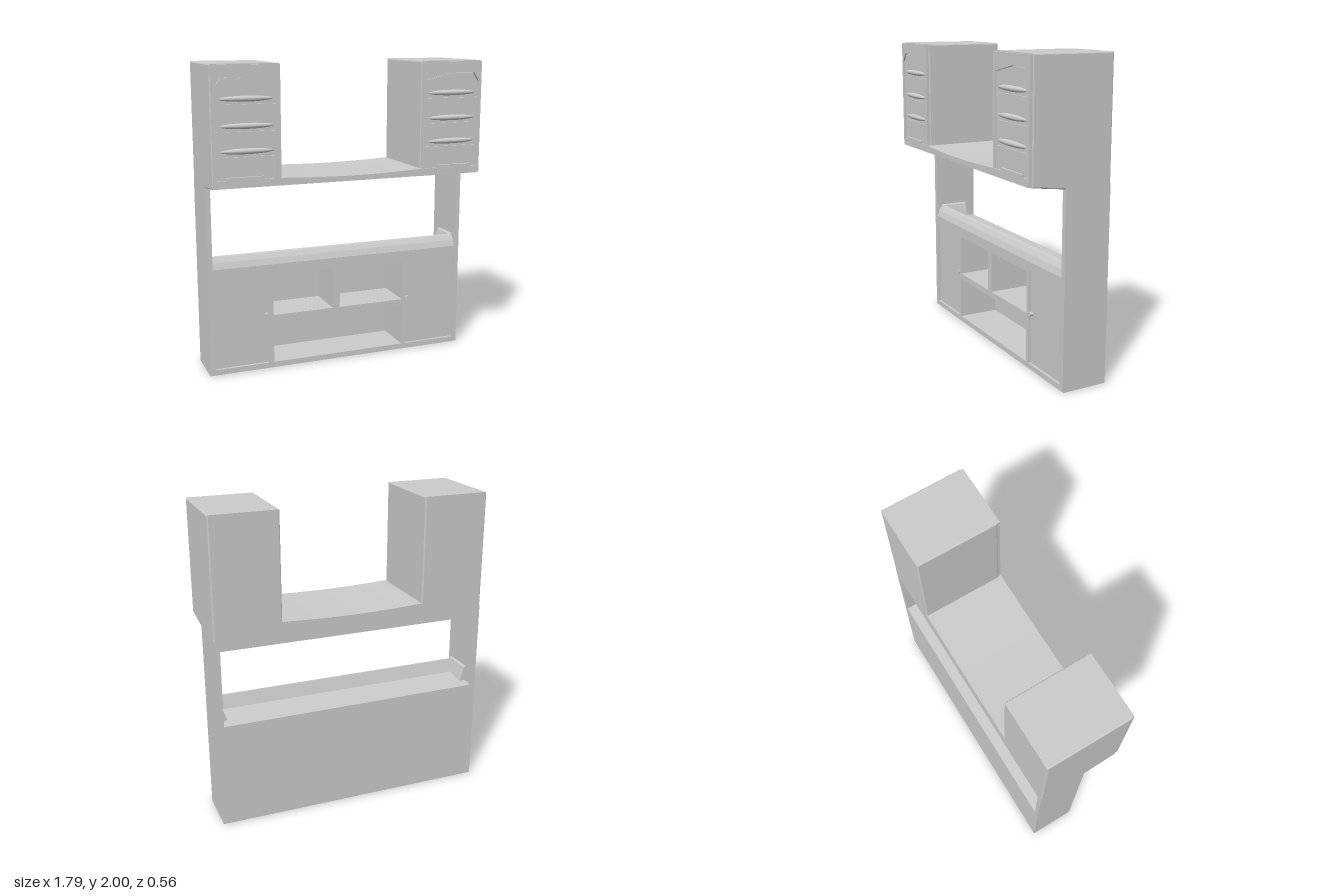
import * as THREE from 'three';

const material = new THREE.MeshStandardMaterial({ color: 0xcccccc });

function add(parent, name, geometry) {
  const mesh = new THREE.Mesh(geometry, material);
  mesh.name = name;
  parent.add(mesh);
  return mesh;
}

// Box given by its limits on each axis
function block(parent, name, x0, x1, y0, y1, z0, z1) {
  const g = new THREE.BoxGeometry(x1 - x0, y1 - y0, z1 - z0);
  g.translate((x0 + x1) / 2, (y0 + y1) / 2, (z0 + z1) / 2);
  return add(parent, name, g);
}

const toPoints = (pts) => pts.map(([a, b]) => new THREE.Vector2(a, b));

const bevelled = (depth, b) => ({
  depth: depth - 2 * b, bevelEnabled: b > 0, bevelSize: b, bevelOffset: -b, bevelThickness: b, bevelSegments: 2,
});

// Side profile of [z, y] points swept from x0 to x1
function prism(parent, name, profile, x0, x1, bevel = 0) {
  const g = new THREE.ExtrudeGeometry(new THREE.Shape(toPoints(profile)), bevelled(x1 - x0, bevel));
  g.rotateY(-Math.PI / 2);
  g.translate(x1 - bevel, 0, 0);
  return add(parent, name, g);
}

// Front outline of [x, y] points with holes, from z0 to z1
function plate(parent, name, outline, holes, z0, z1) {
  const shape = new THREE.Shape(toPoints(outline));
  holes.forEach((h) => shape.holes.push(new THREE.Path(toPoints(h))));
  const g = new THREE.ExtrudeGeometry(shape, bevelled(z1 - z0, 0));
  g.translate(0, 0, z0);
  return add(parent, name, g);
}

const rect = (x0, x1, y0, y1) => [[x0, y0], [x1, y0], [x1, y1], [x0, y1]];

function lowerCabinet() {
  const cabinet = new THREE.Group();
  cabinet.name = 'lowerCabinet';

  // Front frame around doors, cubbies and the long opening
  plate(cabinet, 'faceFrame', rect(-0.895, 0.895, 0.005, 1.25), [
    rect(-0.86, -0.5, 0.04, 0.65),
    rect(0.49, 0.86, 0.04, 0.65),
    rect(-0.465, -0.05, 0.365, 0.64),
    rect(0, 0.465, 0.365, 0.64),
    rect(-0.465, 0.465, 0.04, 0.325),
    rect(-0.86, 0.86, 0.67, 1.24),
  ], 0, 0.03);

  // Carcass
  block(cabinet, 'base', -0.895, 0.895, 0, 0.04, -0.275, 0.022);
  block(cabinet, 'backPanel', -0.87, 0.87, 0.02, 0.66, -0.275, -0.25);
  block(cabinet, 'middleShelf', -0.48, 0.48, 0.325, 0.365, -0.26, 0.01);
  block(cabinet, 'cubbyDivider', -0.05, 0, 0.36, 0.65, -0.26, 0.01);

  // Counter sill with a raised front lip
  prism(cabinet, 'counterSill', [
    [-0.275, 0.65], [0.03, 0.65], [0.03, 0.71], [0.015, 0.75], [-0.005, 0.78],
    [-0.03, 0.785], [-0.055, 0.7], [-0.275, 0.685],
  ], -0.865, 0.865);

  for (const s of [-1, 1]) {
    const span = (a, b) => (s > 0 ? [a, b] : [-b, -a]);
    block(cabinet, 'sideColumn', ...span(0.86, 0.895), 0.02, 1.25, -0.275, 0.005);
    block(cabinet, 'cubbyWall', ...span(0.465, 0.495), 0.03, 0.65, -0.26, 0.01);
    block(cabinet, 'door', ...span(0.485, 0.865), 0.035, 0.655, -0.02, 0.012);

    // Sloped corner between sill and column
    plate(cabinet, 'openingCorner', s > 0
      ? [[0.82, 0.69], [0.865, 0.69], [0.865, 0.8], [0.85, 0.785]]
      : [[-0.82, 0.69], [-0.85, 0.785], [-0.865, 0.8], [-0.865, 0.69]], [], -0.2, -0.005);

    // Door pull
    const knob = new THREE.CylinderGeometry(0.014, 0.014, 0.024, 12);
    knob.rotateX(Math.PI / 2);
    add(cabinet, 'doorKnob', knob).position.set(s * 0.505, 0.37, 0.022);
  }
  return cabinet;
}

// Shelf slab: sagging top, underside dropping toward the back
function overhang() {
  const g = new THREE.BoxGeometry(1.77, 1, 0.55, 24, 1, 9);
  const p = g.attributes.position;
  for (let i = 0; i < p.count; i++) {
    const x = p.getX(i), z = p.getZ(i);
    const top = 1.303 + 0.014 * Math.min(1, (x / 0.47) ** 2);
    const under = z > 0.03 ? 1.24 + (z - 0.03) * 0.122 : 1.24 + (z - 0.03) * 0.2;
    p.setY(i, p.getY(i) > 0 ? top : under);
  }
  g.computeVertexNormals();
  const mesh = new THREE.Mesh(g, material);
  mesh.name = 'overhangShelf';
  return mesh;
}

function tower(side) {
  const group = new THREE.Group();
  group.name = side > 0 ? 'leftTower' : 'rightTower';
  const flip = (pts) => (side > 0 ? pts : pts.map(([x, y]) => [-x, y]).reverse());
  const [x0, x1] = side > 0 ? [0.468, 0.895] : [-0.895, -0.468];

  // Solid body
  prism(group, 'towerBody', [
    [-0.275, 1.19], [0.03, 1.238], [0.255, 1.266], [0.255, 2], [-0.275, 2],
  ], x0, x1, 0.008);

  // Raised frame with an arched drawer recess
  const arch = [[0.87, 1.87], [0.835, 1.925], [0.7, 1.927], [0.495, 1.885]];
  plate(group, 'towerFrame', flip([[0.473, 1.272], [0.89, 1.272], [0.89, 1.995], [0.473, 1.995]]),
    [flip([[0.495, 1.305], [0.87, 1.305], ...arch])], 0.245, 0.273);

  // Stacked drawer fronts
  [1.31, 1.465, 1.615, 1.775].forEach((y, i) => {
    const top = [1.455, 1.605, 1.765][i];
    const outline = i < 3 ? rect(0.498, 0.867, y, top)
      : [[0.498, y], [0.867, y], [0.867, 1.868], [0.833, 1.92], [0.7, 1.922], [0.498, 1.882]];
    plate(group, 'drawerFront', flip(outline), [], 0.25, 0.264);

    // Lip handle
    if (i === 0) {
      const [a, b] = side > 0 ? [0.58, 0.82] : [-0.82, -0.58];
      block(group, 'drawerHandle', a, b, 1.31, 1.335, 0.255, 0.28);
    } else {
      const lip = new THREE.SphereGeometry(1, 24, 10);
      lip.scale(0.17, 0.018, 0.02);
      add(group, 'drawerHandle', lip).position.set(side * 0.682, y + 0.023, 0.261);
    }
  });
  return group;
}

export function createModel() {
  const model = new THREE.Group();
  model.name = 'storageWall';
  model.add(lowerCabinet(), overhang(), tower(1), tower(-1));
  return model;
}
